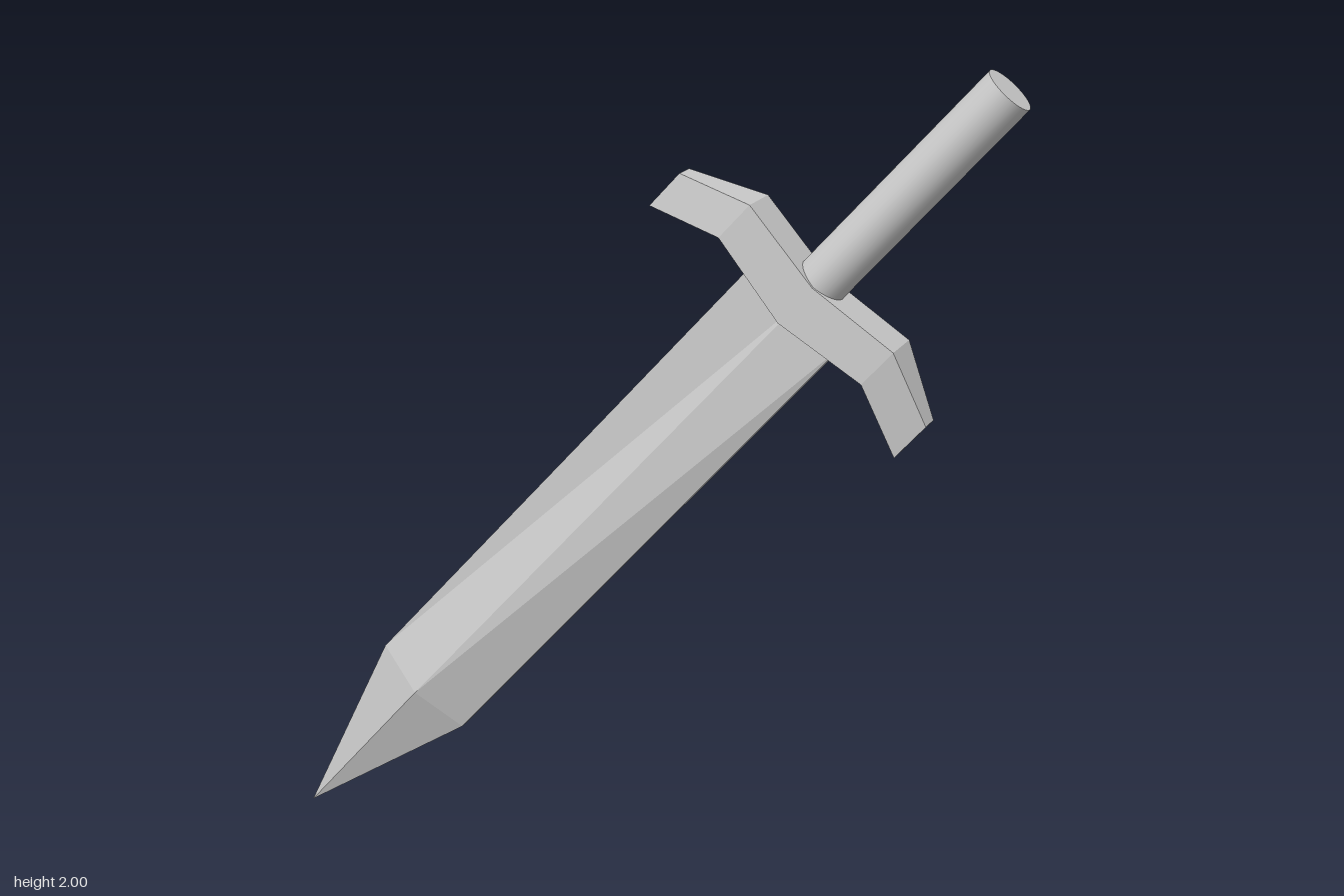
import * as THREE from 'three';

const material = () => new THREE.MeshStandardMaterial({ color: 0xcccccc });

// Joins equal-length rings of [x, y, z] points into a closed, faceted solid.
// Each ring runs counter-clockwise about the direction of travel.
function loft(rings) {
  const pos = [];
  const tri = (a, b, c) => pos.push(...a, ...b, ...c);
  const n = rings[0].length;
  for (let i = 0; i < rings.length - 1; i++) {
    for (let j = 0; j < n; j++) {
      const k = (j + 1) % n;
      const a = rings[i][j], b = rings[i][k], c = rings[i + 1][k], d = rings[i + 1][j];
      if (i > 0 || a !== b) tri(a, b, c);
      tri(a, c, d);
    }
  }
  const first = rings[0], last = rings[rings.length - 1];
  for (let j = 1; j < n - 1; j++) {
    if (first[0] !== first[1]) tri(first[0], first[j + 1], first[j]);
    tri(last[0], last[j], last[j + 1]);
  }
  const geometry = new THREE.BufferGeometry();
  geometry.setAttribute('position', new THREE.Float32BufferAttribute(pos, 3));
  geometry.computeVertexNormals();
  return geometry;
}

function add(group, name, geometry) {
  const mesh = new THREE.Mesh(geometry, material());
  mesh.name = name;
  group.add(mesh);
  return mesh;
}

export function createModel() {
  const model = new THREE.Group();
  model.name = 'sword';

  // The sword is built upright with its tip at the origin, then leaned over
  const sword = new THREE.Group();
  sword.name = 'leaningSword';
  sword.position.set(-0.925, 0, 0);
  sword.rotation.z = -0.745;
  model.add(sword);

  // Blade: ridged six-sided section, thinning at the ridge towards the guard
  const bladeRing = (y, width, ridge, edge) => [
    [0, y, ridge], [width, y, edge], [width, y, -edge],
    [0, y, -ridge], [-width, y, -edge], [-width, y, edge],
  ];
  const tip = [0, 0, 0];
  add(sword, 'blade', loft([
    Array(6).fill(tip),
    bladeRing(0.486, 0.143, 0.067, 0.011),
    bladeRing(1.95, 0.143, 0.029, 0.024),
  ]));

  // Guard: box section swept sideways, with drooping, tapered ends
  const half = [ // x, bottom, top, half depth
    [0, 1.893, 2.015, 0.072],
    [0.24, 1.935, 2.047, 0.072],
    [0.416, 1.853, 1.964, 0.036],
  ];
  const stations = [
    ...half.slice(1).reverse().map(([x, ...rest]) => [-x, ...rest]),
    ...half,
  ];
  add(sword, 'guard', loft(stations.map(([x, lo, hi, z]) => [
    [x, hi, z], [x, lo, z], [x, lo, -z], [x, hi, -z],
  ])));

  // Handle: plain round grip, seated in the guard
  const grip = add(sword, 'handle', new THREE.CylinderGeometry(0.064, 0.064, 0.7, 32));
  grip.position.y = 2.31;

  return model;
}
